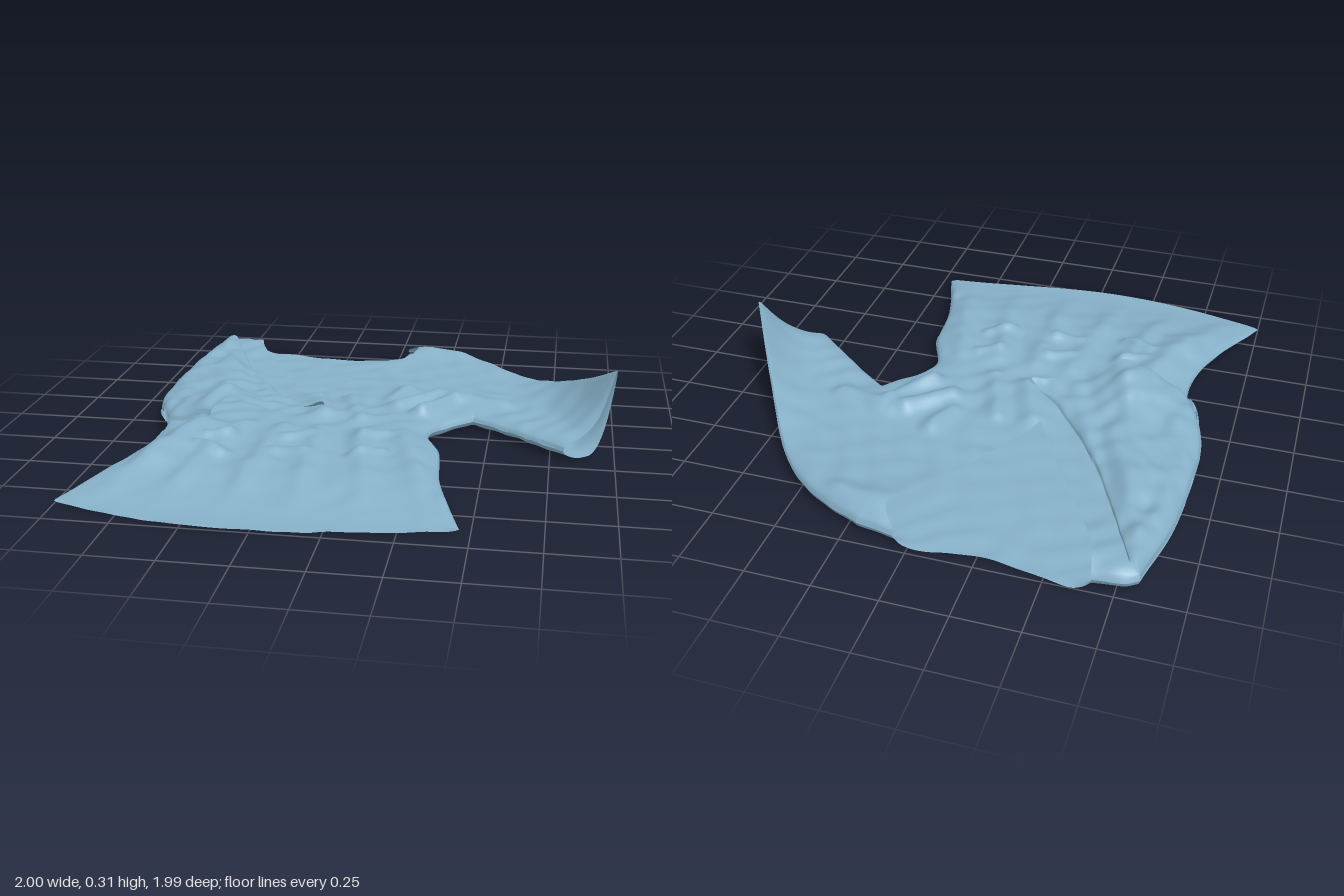
import * as THREE from 'three';

const { smoothstep } = THREE.MathUtils;
const fabric = new THREE.MeshStandardMaterial({ color: 0x86b0c8, side: THREE.DoubleSide, roughness: 0.9 });

// Plan curves: x, z pairs seen from above
const curve = (...p) => new THREE.CatmullRomCurve3(p.map(([x, z]) => new THREE.Vector3(x, 0, z)));
const join = (...lists) => new THREE.CatmullRomCurve3(lists.flat());

// Garment outline and seams
const sideRightUp = curve([-0.83, -0.95], [-0.89, -0.65], [-0.91, -0.2]);
const sideRightLow = curve([-0.91, -0.2], [-0.88, -0.02], [-0.8, 0.16], [-0.81, 0.4], [-1, 0.87]);
const sideLeftLow = curve([0.43, -0.1], [0.27, 0.1], [0.33, 0.3], [0.36, 0.56], [0.46, 0.89]);
const hem = curve([-1, 0.87], [-0.65, 0.96], [-0.26, 0.99], [0.46, 0.89]);
const chestRight = curve([-0.91, -0.2], [-0.28, -0.2]);
const chestLeft = curve([-0.28, -0.2], [0.43, -0.1]);
const chest = join(chestRight.points, chestLeft.points.slice(1));
const neckRight = curve([-0.67, -0.99], [-0.62, -0.82], [-0.45, -0.51], [-0.28, -0.2]);
const neckLeft = curve([0.05, -0.975], [0.11, -0.87], [-0.08, -0.54], [-0.28, -0.2]);
const shoulderRight = curve([-0.83, -0.95], [-0.78, -0.98], [-0.67, -0.99]);
const shoulderLeft = curve([0.05, -0.975], [0.2, -0.95]);
const backNeck = join(shoulderRight.points, curve([-0.6, -1], [-0.26, -0.945], [-0.02, -0.98]).points, shoulderLeft.points);
const armhole = curve([0.2, -0.95], [0.43, -0.1]);
const sleeveOuter = curve([0.2, -0.95], [0.42, -0.84], [0.6, -0.67], [0.82, -0.33], [1, -0.03]);
const sleeveInner = curve([0.43, -0.1], [0.53, -0.03], [0.8, 0.19]);
const cuff = curve([1, -0.03], [0.92, 0.1], [0.8, 0.19]);

// Folded right sleeve lying across the front
const flapCuff = curve([-0.6, 0.21], [-0.4, 0.13], [-0.17, 0.01]);
const flapOuter = join(sideRightUp.points, sideRightLow.points.slice(1, 3), flapCuff.points.slice(0, 1));
const flapInner = curve([-0.78, -0.92], [-0.54, -0.4], [-0.29, -0.06], [-0.17, 0.01]);
const flapTop = curve([-0.83, -0.95], [-0.78, -0.92]);

function segmentDistance(x, z, ax, az, bx, bz) {
  const dx = bx - ax, dz = bz - az;
  const t = THREE.MathUtils.clamp(((x - ax) * dx + (z - az) * dz) / (dx * dx + dz * dz), 0, 1);
  return Math.hypot(x - ax - dx * t, z - az - dz * t);
}

// Distance in plan to the nearest of the given curves, at most limit
function distanceTo(curves, limit) {
  const lines = curves.map((c) => c.getSpacedPoints(60));
  return (x, z) => {
    let d = limit;
    for (const l of lines) {
      for (let i = 1; i < l.length; i++) d = Math.min(d, segmentDistance(x, z, l[i - 1].x, l[i - 1].z, l[i].x, l[i].z));
    }
    return d;
  };
}

// Rounded thickness profile: 0 on the given folded edges, 1 away from them
function edgeProfile(curves, radius) {
  const distance = distanceTo(curves, radius);
  return (x, z) => {
    const d = distance(x, z);
    return d < 0.003 ? 0 : Math.sqrt(1 - (1 - d / radius) ** 2);
  };
}
const bodyEdge = edgeProfile([sideRightUp, sideRightLow, sideLeftLow, shoulderRight, shoulderLeft, sleeveOuter, sleeveInner], 0.09);
const flapEdge = edgeProfile([flapOuter, flapInner], 0.08);
const outerDistance = distanceTo([sleeveOuter], 0.3);

// Creases as functions of position: a soft ridge along a segment
const ridge = (ax, az, bx, bz, height, width) => (x, z) =>
  height * Math.exp(-((segmentDistance(x, z, ax, az, bx, bz) / width) ** 2));
const creases = [
  // chest, underarm and shoulder folds
  ridge(-0.24, -0.18, -0.17, 0.02, 0.04, 0.05),
  ridge(-0.1, -0.2, -0.02, 0.05, 0.03, 0.04),
  ridge(0.08, -0.22, 0.13, -0.36, 0.03, 0.04),
  ridge(0.12, -0.12, 0.26, -0.26, 0.05, 0.045),
  ridge(0.22, -0.05, 0.34, -0.22, 0.05, 0.04),
  ridge(0.32, -0.28, 0.55, -0.22, 0.03, 0.045),
  ridge(0.14, -0.86, 0.3, -0.84, 0.02, 0.06),
  // skirt fold below the folded sleeve, and the crumpled hem corner
  ridge(-0.6, 0.25, -0.7, 0.55, 0.04, 0.07),
  ridge(0.4, 0.72, 0.43, 0.9, 0.05, 0.04),
];
// skirt folds fanning out from the waist
for (let i = 0; i < 6; i++) {
  const o = i / 2.5 - 1;
  creases.push(ridge(-0.23 + 0.4 * o, 0.2, -0.25 + 0.6 * o, 0.85, 0.022, 0.045));
}
// two rows of waist tucks
for (const i of [-1, 0, 1]) {
  const x = -0.23 + 0.3 * i, drop = 0.05 * i;
  creases.push(ridge(x - 0.05, 0.44, x + 0.05, 0.44 - drop, 0.028, 0.028));
  creases.push(ridge(x - 0.04, 0.31 - drop, x + 0.04, 0.27 - drop, 0.025, 0.028));
}

const ripple = (x, z) => Math.sin(17 * x + 5 * Math.sin(7 * z)) * Math.sin(13 * z + 3 * Math.sin(9 * x))
  + 0.5 * Math.sin(37 * x + 11 * z) * Math.sin(31 * z - 14 * x);

// The outer edge of the left sleeve curls up towards the cuff; both layers meet there
const sleeveLift = (x, z, reach) => 0.27 * Math.max(0, (x - 0.55) / 0.45) ** 1.6
  * Math.max(0, 1 - outerDistance(x, z) / reach) ** 1.5;
const lowerLift = (x, z) => sleeveLift(x, z, 0.18);
const upperLift = (x, z) => sleeveLift(x, z, 0.26);
const thickness = (x, z) => {
  const full = 0.055 + 0.025 * smoothstep(-z, 0.55, 0.9) + 0.012 * Math.exp(-(((z - 0.15) / 0.25) ** 2));
  return 0.01 + full * (1 - smoothstep(z, 0.5, 0.97));
};
const backY = (x, z) => 0.009 + 0.003 * ripple(x, z) + lowerLift(x, z) + 0.5 * thickness(x, z) * (1 - bodyEdge(x, z))
  + 0.02 * Math.exp(-(((z - 0.27) / 0.07) ** 2)) * Math.abs(Math.sin(21 * x));
const frontY = (x, z) => {
  const e = bodyEdge(x, z), fade = 1 - smoothstep(z, 0.55, 0.97);
  const folds = creases.reduce((h, crease) => h + crease(x, z), 0);
  return 0.01 + upperLift(x, z) + thickness(x, z) * (0.5 + 0.5 * e) + e * fade * (0.85 * folds + 0.005 * ripple(x, z));
};
const cuffBulge = ridge(-0.58, 0.1, -0.55, 0.15, 0.075, 0.13);
const flapFold = ridge(-0.72, -0.5, -0.56, 0.05, 0.025, 0.06);
const flapY = (x, z) => frontY(x, z) + 0.006
  + flapEdge(x, z) * (0.028 + cuffBulge(x, z) + flapFold(x, z) + 0.007 * ripple(1.3 * x, 1.3 * z));

// Cloth panel filling four edge curves (top and bottom run across, left and right run down)
function panel(name, top, bottom, left, right, height, n = 70) {
  const ease = (i) => 0.5 * i / n + 0.25 * (1 - Math.cos(Math.PI * i / n));
  const sample = (c) => Array.from({ length: n + 1 }, (_, i) => c.getPointAt(Math.min(1, ease(i))));
  const [T, B, L, R] = [top, bottom, left, right].map(sample);
  const pos = [], index = [];
  for (let j = 0; j <= n; j++) {
    for (let i = 0; i <= n; i++) {
      const u = ease(i), v = ease(j);
      const blend = (k) => (1 - v) * T[i][k] + v * B[i][k] + (1 - u) * L[j][k] + u * R[j][k]
        - (1 - v) * ((1 - u) * T[0][k] + u * T[n][k]) - v * ((1 - u) * B[0][k] + u * B[n][k]);
      const x = blend('x'), z = blend('z');
      pos.push(x, Math.max(0.001, height(x, z)), z);
      if (i < n && j < n) {
        const a = j * (n + 1) + i, b = a + n + 1;
        index.push(a, b, a + 1, b, b + 1, a + 1);
      }
    }
  }
  const g = new THREE.BufferGeometry();
  g.setAttribute('position', new THREE.Float32BufferAttribute(pos, 3));
  g.setIndex(index);
  g.computeVertexNormals();
  const mesh = new THREE.Mesh(g, fabric);
  mesh.name = name;
  return mesh;
}

export function createModel() {
  const blouse = new THREE.Group();
  blouse.name = 'blouse';
  blouse.add(
    // back layer
    panel('backUpper', backNeck, chest, sideRightUp, armhole, backY),
    panel('backLower', chest, hem, sideRightLow, sideLeftLow, backY),
    panel('leftSleeveBack', sleeveOuter, sleeveInner, armhole, cuff, backY),
    // front layer with the open V neck
    panel('frontUpperRight', shoulderRight, chestRight, sideRightUp, neckRight, frontY, 50),
    panel('frontUpperLeft', shoulderLeft, chestLeft, neckLeft, armhole, frontY),
    panel('frontLower', chest, hem, sideRightLow, sideLeftLow, frontY, 110),
    panel('leftSleeveFront', sleeveOuter, sleeveInner, armhole, cuff, frontY),
    // right sleeve folded over the front
    panel('rightSleeve', flapTop, flapCuff, flapOuter, flapInner, flapY),
  );
  return blouse;
}
